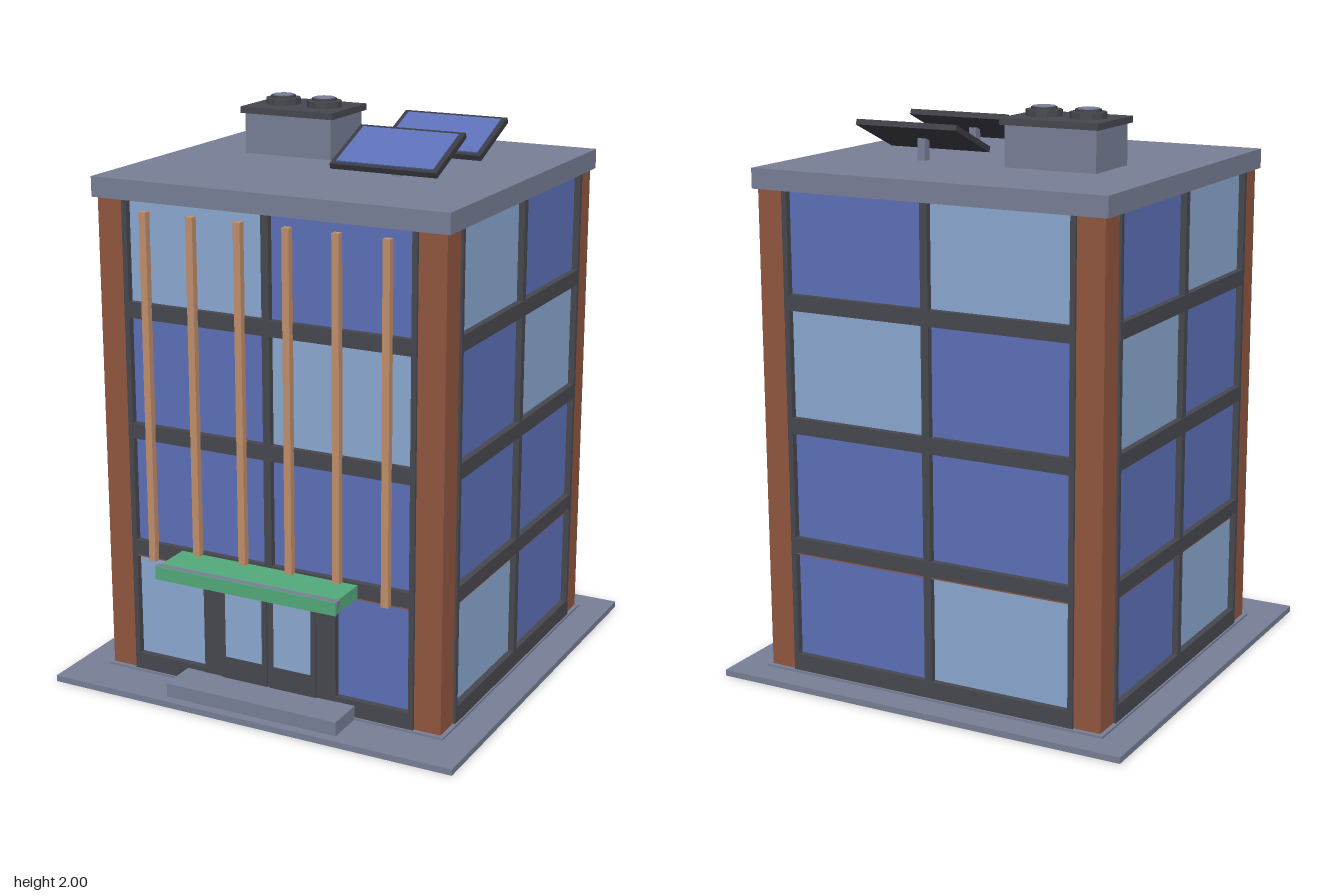
import * as THREE from 'three';

const mat = (name, color) => {
  const m = new THREE.MeshStandardMaterial({ color });
  m.name = name;
  return m;
};

export function createModel() {
  const concrete = mat('concrete grey', 0x787f96);
  const frame = mat('frame charcoal', 0x47484f);
  const dark = mat('panel frame black', 0x3a3b43);
  const brick = mat('brick brown', 0x90573f);
  const timber = mat('timber tan', 0xc18f6c);
  const blue = mat('blue glass', 0x5c70b8);
  const light = mat('pale glass', 0x8ba8d0);
  const green = mat('canopy green', 0x52a97a);

  const model = new THREE.Group();
  model.name = 'officeBuilding';

  // Box given by its limits on each axis
  const box = (parent, name, m, x0, x1, y0, y1, z0, z1) => {
    const mesh = new THREE.Mesh(new THREE.BoxGeometry(x1 - x0, y1 - y0, z1 - z0), m);
    mesh.position.set((x0 + x1) / 2, (y0 + y1) / 2, (z0 + z1) / 2);
    mesh.name = name;
    parent.add(mesh);
    return mesh;
  };

  // Ground slabs, core and roof
  const cz = -0.035;
  box(model, 'groundSlab', concrete, -0.77, 0.77, 0, 0.022, -0.77, 0.77);
  box(model, 'floorSlab', concrete, -0.66, 0.66, 0.022, 0.03, -0.67, 0.6);
  box(model, 'core', frame, -0.615, 0.615, 0.03, 1.73, -0.625, 0.555);
  box(model, 'roof', concrete, -0.66, 0.66, 1.73, 1.8, -0.67, 0.6);

  // Corner pillars
  for (const sx of [-1, 1]) for (const sz of [-1, 1]) {
    const x = sx * 0.596, z = cz + sz * 0.57;
    box(model, 'cornerPillar', brick, x - 0.049, x + 0.049, 0.03, 1.73, z - 0.05, z + 0.05);
  }

  // Curtain walls: local z = 0 is the pillar face
  const floors = [[0.09, 0.46], [0.52, 0.895], [0.95, 1.325], [1.38, 1.73]];
  const pattern = [[light, blue], [blue, blue], [blue, light], [light, blue]];
  const wall = (name, half, glassHalf, angle, x, z, flip) => {
    const g = new THREE.Group();
    g.name = name;
    g.rotation.y = angle;
    g.position.set(x, 0, z);
    model.add(g);
    const out = 0.009, back = -0.04;
    floors.forEach(([y0, y1], i) => {
      const bottom = i ? floors[i - 1][1] : 0.03;
      box(g, 'floorBand', frame, -half, half, bottom + (i === 1 ? 0.006 : 0), y0, back, out);
      const [a, b] = flip ? [...pattern[i]].reverse() : pattern[i];
      box(g, 'windowPane', a, -glassHalf, -0.014, y0, y1, -0.022, -0.014);
      box(g, 'windowPane', b, 0.014, glassHalf, y0, y1, -0.022, -0.014);
    });
    box(g, 'brickCourse', brick, -glassHalf, glassHalf, 0.46, 0.466, back, 0.006);
    box(g, 'mullion', frame, -0.014, 0.014, 0.03, 1.73, back, 0.008);
    for (const s of [-1, 1]) {
      const c = s * (half + glassHalf) / 2, w = (half - glassHalf) / 2;
      box(g, 'edgeFrame', frame, c - w, c + w, 0.03, 1.73, back, 0.0085);
    }
  };
  wall('frontWall', 0.547, 0.528, 0, 0, 0.585, false);
  wall('backWall', 0.547, 0.528, Math.PI, 0, -0.655, true);
  wall('leftWall', 0.52, 0.503, Math.PI / 2, 0.645, cz, false);
  wall('rightWall', 0.52, 0.503, -Math.PI / 2, -0.645, cz, true);

  // Entrance: surround, two glazed leaves and a step
  box(model, 'doorSurround', frame, -0.257, 0.257, 0.03, 0.465, 0.55, 0.596);
  for (const s of [-1, 1]) {
    const c = s * 0.095;
    box(model, 'doorLeaf', frame, c - 0.09, c + 0.09, 0.07, 0.43, 0.59, 0.602);
    box(model, 'doorGlass', light, c - 0.071, c + 0.071, 0.155, 0.405, 0.602, 0.606);
  }
  box(model, 'entranceStep', concrete, -0.33, 0.33, 0.022, 0.072, 0.58, 0.735);

  // Canopy with a trimmed front edge
  box(model, 'canopy', green, -0.34, 0.34, 0.467, 0.513, 0.585, 0.745);
  box(model, 'canopyTrim', concrete, -0.347, 0.347, 0.49, 0.515, 0.735, 0.756);
  box(model, 'canopyFascia', green, -0.345, 0.345, 0.467, 0.514, 0.756, 0.761);

  // Vertical timber fins
  for (let i = 0; i < 6; i++) {
    const x = -0.45 + i * 0.18;
    box(model, 'timberFin', timber, x - 0.013, x + 0.013, 0.462, 1.7, 0.592, 0.617);
  }

  // Rooftop ventilation unit with two fans
  box(model, 'ventUnit', concrete, -0.422, -0.082, 1.8, 1.945, -0.265, -0.025);
  box(model, 'ventCap', frame, -0.435, -0.07, 1.943, 1.966, -0.28, -0.013);
  const disc = (name, m, r, y0, y1, x, sides) => {
    const geo = new THREE.CylinderGeometry(r, r, y1 - y0, sides).toNonIndexed();
    geo.computeVertexNormals();
    const mesh = new THREE.Mesh(geo, m);
    mesh.position.set(x, (y0 + y1) / 2, -0.147);
    mesh.name = name;
    model.add(mesh);
  };
  for (const x of [-0.335, -0.17]) {
    disc('fanHousing', frame, 0.063, 1.966, 1.988, x, 10);
    disc('fanCollar', frame, 0.044, 1.988, 1.997, x, 12);
    disc('fanHub', concrete, 0.038, 1.997, 2.0, x, 12);
  }

  // Tilted solar panels on posts
  for (const z of [0.123, -0.235]) {
    box(model, 'panelPost', concrete, 0.235, 0.265, 1.8, 1.875, z - 0.015, z + 0.015);
    const g = new THREE.Group();
    g.name = 'solarPanel';
    g.position.set(0.25, 1.884, z);
    g.rotation.x = 0.4;
    box(g, 'panelFrame', dark, -0.196, 0.196, -0.01, 0.01, -0.126, 0.126);
    box(g, 'panelCells', blue, -0.178, 0.178, 0.01, 0.014, -0.11, 0.11);
    model.add(g);
  }

  return model;
}
